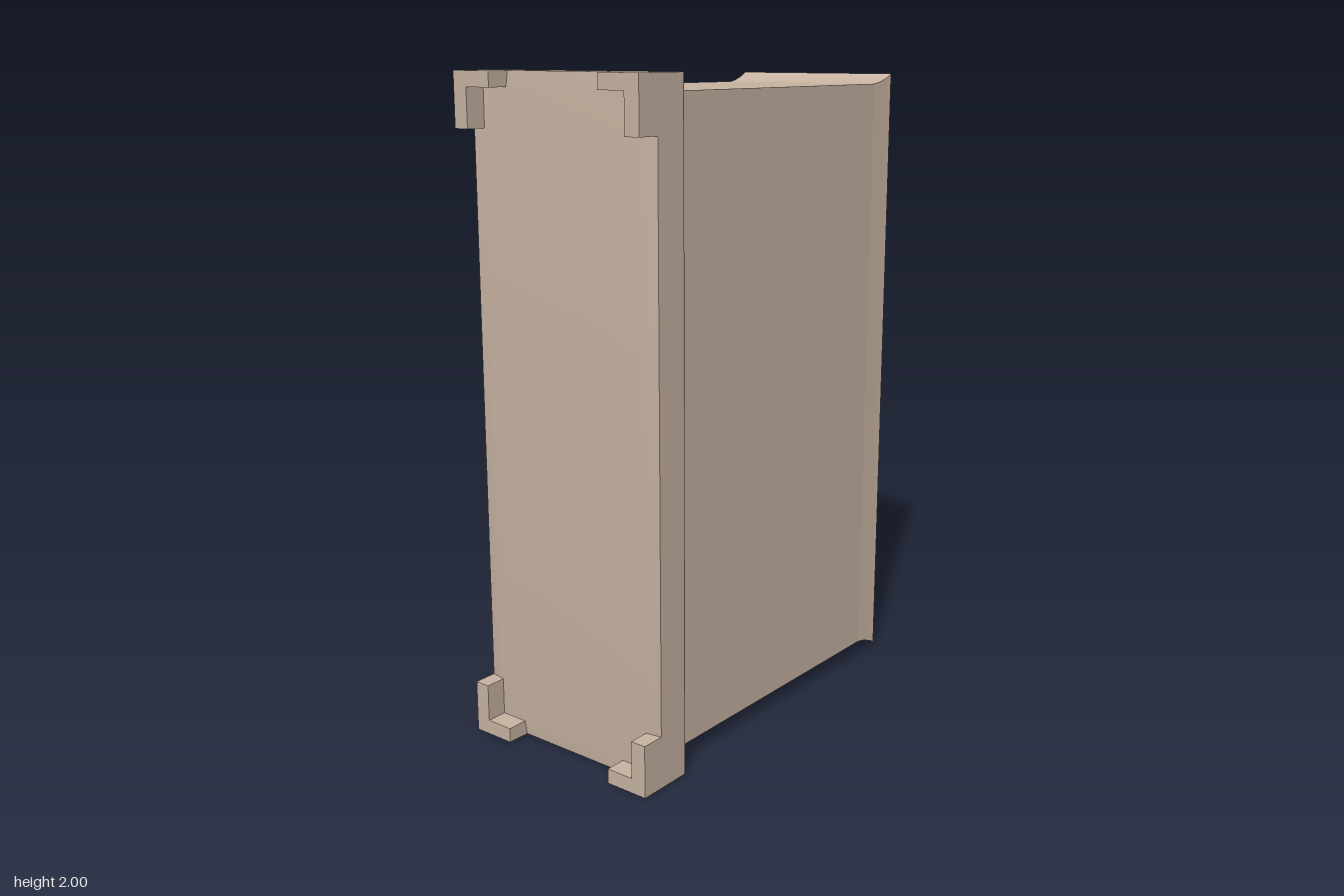
import * as THREE from 'three';
import { toCreasedNormals } from 'three/addons/utils/BufferGeometryUtils.js';

const wood = new THREE.MeshStandardMaterial({ color: 0xc8b4a2 });

function add(parent, name, geometry) {
  const mesh = new THREE.Mesh(geometry, wood);
  mesh.name = name;
  parent.add(mesh);
  return mesh;
}

// Box spanning two opposite corners
function block(x0, x1, y0, y1, z0, z1) {
  return new THREE.BoxGeometry(x1 - x0, y1 - y0, z1 - z0)
    .translate((x0 + x1) / 2, (y0 + y1) / 2, (z0 + z1) / 2);
}

// Rectangular loft along z; sections are [z, halfWidth, halfHeight], z rising
function loft(sections, cy) {
  const n = sections.length - 1;
  const geo = new THREE.BoxGeometry(2, 2, 1, 1, 1, n);
  const p = geo.attributes.position;
  for (let i = 0; i < p.count; i++) {
    const [z, hw, hh] = sections[Math.round((p.getZ(i) + 0.5) * n)];
    p.setXYZ(i, p.getX(i) * hw, cy + p.getY(i) * hh, z);
  }
  return toCreasedNormals(geo, 0.4);
}

function rect(path, x0, x1, y0, y1) {
  path.moveTo(x0, y0);
  path.lineTo(x1, y0);
  path.lineTo(x1, y1);
  path.lineTo(x0, y1);
  path.closePath();
  return path;
}

export function createModel() {
  const group = new THREE.Group();
  group.name = 'bookcase';

  // Carcass lying on its back end, six compartments open toward -x
  const face = rect(new THREE.Shape(), -0.56, 0.47, 0.05, 1.95);
  for (const [z0, z1] of [[-0.55, -0.33], [-0.26, 0.05], [0.12, 0.45]])
    for (const [y0, y1] of [[0.07, 0.96], [1.04, 1.93]])
      face.holes.push(rect(new THREE.Path(), z0, z1, y0, y1));
  const carcass = new THREE.ExtrudeGeometry(face, { depth: 0.55, bevelEnabled: false });
  carcass.rotateY(-Math.PI / 2).translate(0.265, 0, 0);
  add(group, 'shelfCarcass', carcass);
  add(group, 'backPanel', block(0.265, 0.285, 0.05, 1.95, -0.56, 0.47));

  // Flared crown at the -z end
  add(group, 'crown', loft([
    [-0.65, 0.292, 0.98], [-0.642, 0.291, 0.974], [-0.62, 0.289, 0.965],
    [-0.59, 0.287, 0.955], [-0.56, 0.285, 0.95],
  ], 1));

  // Plinth with a small back bevel and a shallow sloped border in front
  add(group, 'plinth', loft([
    [0.463, 0.33, 0.99], [0.466, 0.337, 0.997], [0.473, 0.34, 1],
    [0.577, 0.34, 1], [0.585, 0.29, 0.95],
  ], 1));

  // L-shaped feet at the four corners
  const foot = new THREE.Shape([
    [0.34, 1], [0.2, 1], [0.2, 0.955], [0.29, 0.955], [0.29, 0.84], [0.34, 0.84],
  ].map(([x, y]) => new THREE.Vector2(x, y)));
  for (const sx of [-1, 1])
    for (const sy of [-1, 1]) {
      const corner = new THREE.Shape(foot.getPoints().map(v => new THREE.Vector2(v.x * sx, v.y * sy)));
      const geo = new THREE.ExtrudeGeometry(corner, { depth: 0.08, bevelEnabled: false });
      add(group, 'cornerFoot', geo.translate(0, 1, 0.57));
    }

  return group;
}
